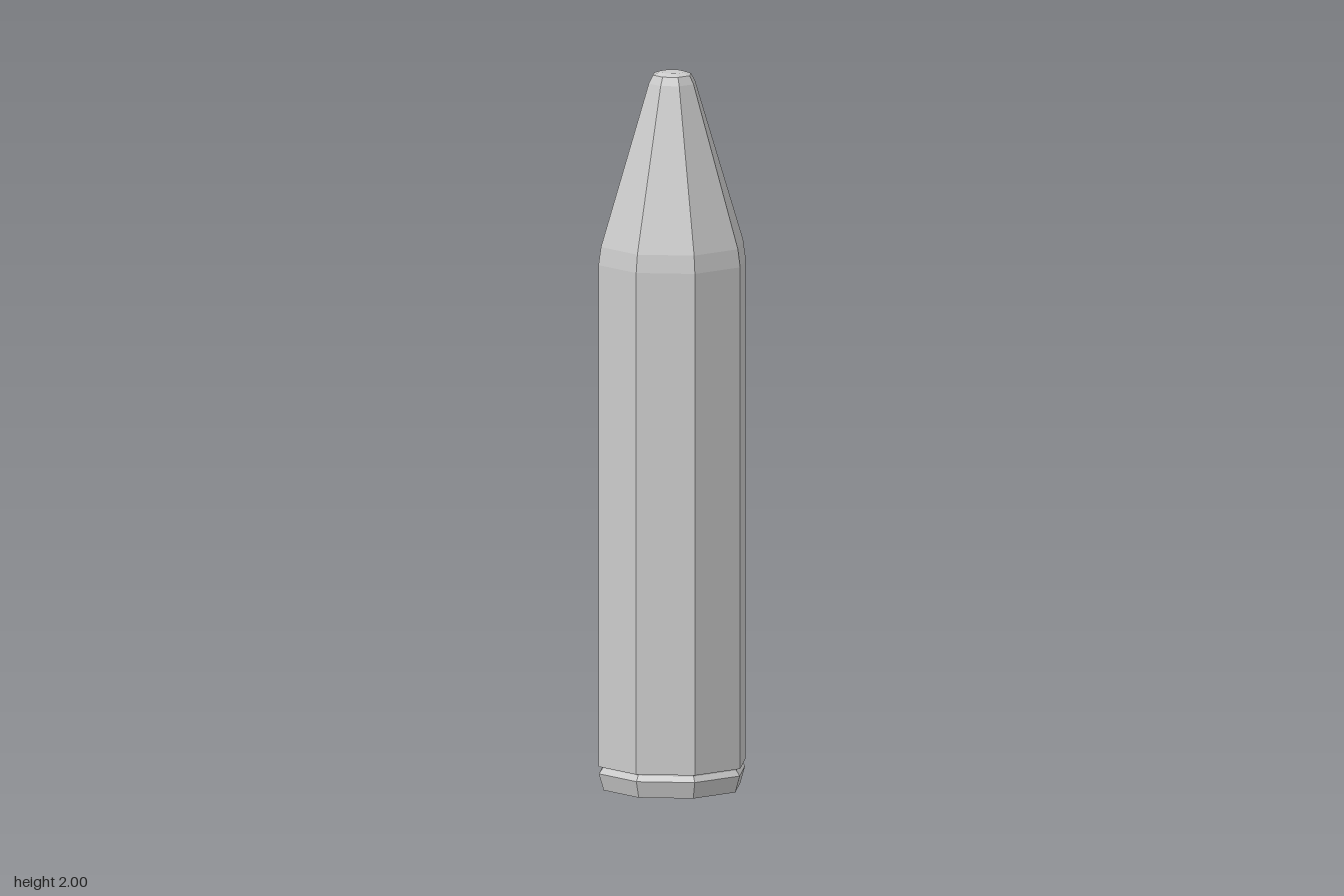
import * as THREE from 'three';

const SIDES = 8;
const material = new THREE.MeshStandardMaterial({ color: 0xcccccc, flatShading: true });

// Eight-sided turned part; profile runs bottom to top as [radius, height]
function turned(name, profile) {
  const points = profile.map(([r, y]) => new THREE.Vector2(r, y));
  const mesh = new THREE.Mesh(new THREE.LatheGeometry(points, SIDES), material);
  mesh.name = name;
  return mesh;
}

export function createModel() {
  const group = new THREE.Group();
  group.name = 'cartridge';
  group.add(
    // flared foot with the narrow groove above it
    turned('baseRim', [[0, 0], [0.197, 0], [0.211, 0.047], [0.2, 0.062], [0.2, 0.067]]),
    // straight body, from the ledge over the groove up to the shoulder
    turned('body', [[0.2, 0.067], [0.212, 0.067], [0.212, 1.47]]),
    // softened shoulder and long taper
    turned('taper', [[0.212, 1.47], [0.205, 1.52], [0.067, 1.97]]),
    // rounded-off flat tip
    turned('tip', [[0.067, 1.97], [0.055, 1.993], [0.035, 2], [0, 2]]),
  );
  return group;
}
